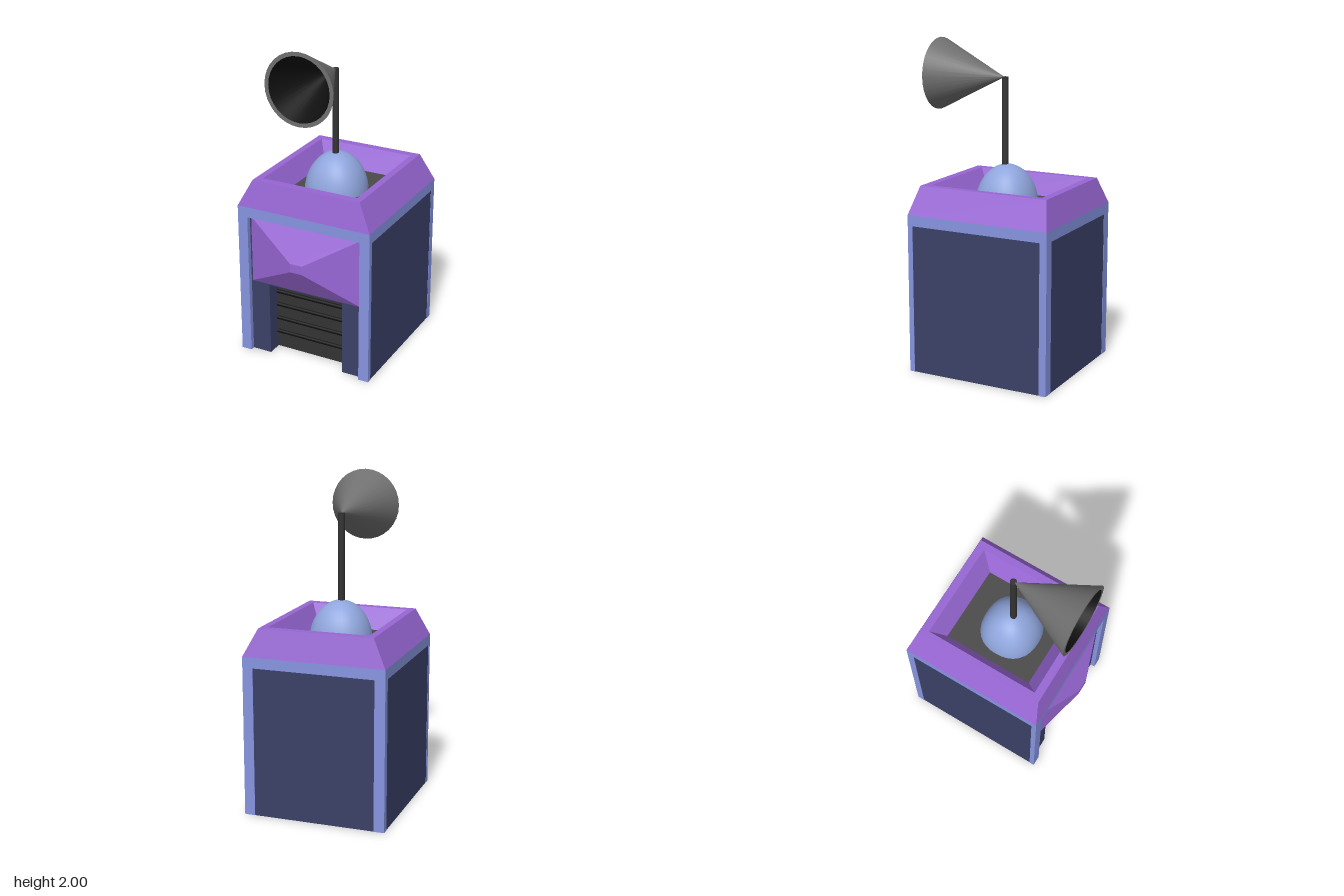
import * as THREE from 'three';

const mat = (color, extra = {}) => new THREE.MeshStandardMaterial({ color, ...extra });

// Joins rectangular rings [halfWidth, y, zBack, zFront] with flat quads
function loft(rings) {
  const corners = ([w, y, b, f]) => [[-w, y, f], [w, y, f], [w, y, b], [-w, y, b]];
  const pos = [];
  for (let i = 0; i + 1 < rings.length; i++) {
    const lo = corners(rings[i]), hi = corners(rings[i + 1]);
    for (let j = 0; j < 4; j++) {
      const k = (j + 1) % 4;
      pos.push(...lo[j], ...lo[k], ...hi[k], ...lo[j], ...hi[k], ...hi[j]);
    }
  }
  const geo = new THREE.BufferGeometry();
  geo.setAttribute('position', new THREE.Float32BufferAttribute(pos, 3));
  geo.computeVertexNormals();
  return geo;
}

export function createModel() {
  const model = new THREE.Group();
  const blue = mat(0x8795e0), navy = mat(0x3b4168), purple = mat(0x9766d4);
  const dark = mat(0x333333), black = mat(0x101010), grey = mat(0x707070);
  const floorGrey = mat(0x4a4a4a), domeBlue = mat(0x8fa5dc);

  const add = (name, geo, material, parent = model) => {
    const mesh = new THREE.Mesh(geo, material);
    mesh.name = name;
    parent.add(mesh);
    return mesh;
  };
  // Box given by its limits on each axis
  const block = (name, [x0, x1], [y0, y1], [z0, z1], material) => {
    const mesh = add(name, new THREE.BoxGeometry(x1 - x0, y1 - y0, z1 - z0), material);
    mesh.position.set((x0 + x1) / 2, (y0 + y1) / 2, (z0 + z1) / 2);
    return mesh;
  };

  // Walls, with a doorway notch at the front
  block('walls', [-0.438, 0.438], [0, 0.95], [-0.498, 0.29], navy);
  block('wallAboveDoor', [-0.438, 0.438], [0.475, 0.95], [0.29, 0.39], navy);
  for (const s of [-1, 1]) {
    const span = (a, b) => (s > 0 ? [a, b] : [-b, -a]);
    block('doorJamb', span(0.25, 0.438), [0, 0.475], [0.29, 0.39], navy);
    block('frontPost', span(0.375, 0.44), [0, 0.915], [0.388, 0.42], blue);
    block('backPost', span(0.375, 0.44), [0, 0.915], [-0.5, -0.455], blue);
  }
  block('topBand', [-0.44, 0.44], [0.915, 0.98], [-0.5, 0.42], blue);

  // Shutter door with dark ribs
  block('door', [-0.25, 0.25], [0.002, 0.475], [0.28, 0.297], dark);
  for (const y of [0.11, 0.205, 0.3, 0.39]) {
    const rib = add('doorRib', new THREE.CylinderGeometry(0.014, 0.014, 0.498, 10), black);
    rib.rotation.z = Math.PI / 2;
    rib.position.set(0, y, 0.295);
  }

  // Pointed awning above the door
  const awning = add('awning', loft([
    [0.375, 0.387, -0.915, -0.475],
    [0.04, 0.5, -0.718, -0.662],
    [0, 0.5, -0.69, -0.69],
  ]), purple);
  awning.rotation.x = Math.PI / 2;

  // Roof parapet with a sloped well inside
  add('roofParapet', loft([
    [0.44, 0.98, -0.5, 0.42],
    [0.355, 1.147, -0.455, 0.38],
    [0.3125, 1.147, -0.405, 0.33],
    [0.245, 1.02, -0.325, 0.25],
  ]), purple);
  block('roofFloor', [-0.25, 0.25], [0.98, 1.02], [-0.33, 0.255], floorGrey);

  // Dome, slightly squared in plan
  const domeGeo = new THREE.SphereGeometry(1, 32, 14, 0, Math.PI * 2, 0, Math.PI / 2);
  const p = domeGeo.attributes.position, n = 2.3;
  for (let i = 0; i < p.count; i++) {
    const x = p.getX(i), z = p.getZ(i), r = Math.hypot(x, z);
    if (r < 1e-6) continue;
    const k = (Math.abs(x / r) ** n + Math.abs(z / r) ** n) ** (-1 / n);
    p.setX(i, x * k);
    p.setZ(i, z * k);
  }
  domeGeo.scale(0.19, 0.255, 0.185);
  domeGeo.computeVertexNormals();
  add('dome', domeGeo, domeBlue).position.set(0, 1, -0.015);

  // Mast
  add('mast', new THREE.CylinderGeometry(0.02, 0.02, 0.55, 20), dark).position.set(0, 1.507, -0.005);

  // Horn: outer cone, rim and dark inside, opening towards the front
  const horn = new THREE.Group();
  horn.name = 'horn';
  horn.position.set(0, 1.78, 0);
  horn.rotation.x = Math.PI / 2;
  model.add(horn);
  const turn = (pts) => new THREE.LatheGeometry(pts.map(([r, y]) => new THREE.Vector2(r, y)), 32);
  const both = { side: THREE.DoubleSide };
  add('hornShell', turn([[0, 0], [0.22, 0.44]]), mat(grey.color, both), horn);
  add('hornRim', turn([[0.22, 0.44], [0.195, 0.44]]), mat(grey.color, both), horn);
  add('hornInside', turn([[0, 0.05], [0.195, 0.44]]), mat(black.color, both), horn);

  return model;
}
